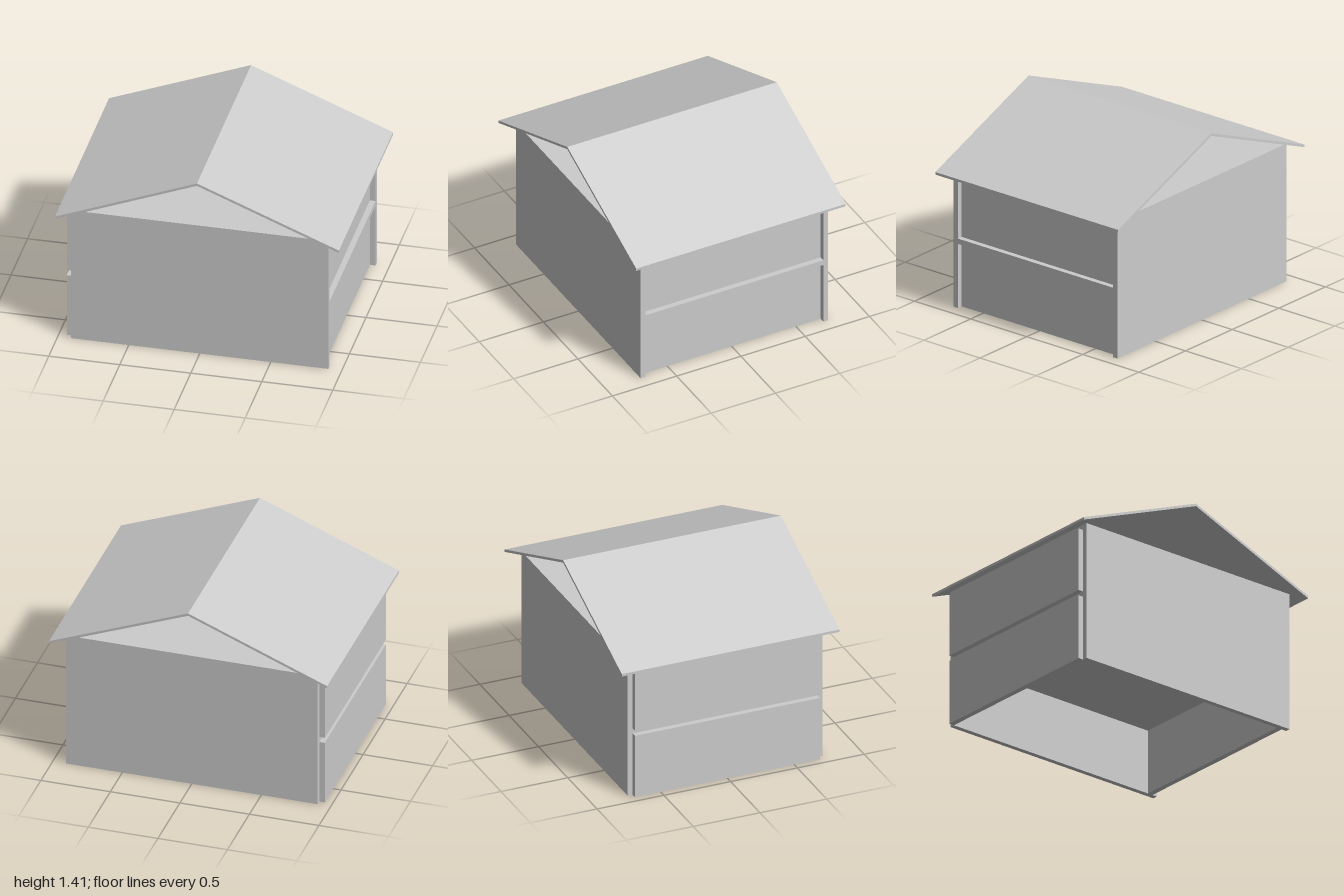
import * as THREE from 'three';

const HALF_LENGTH = 0.905; // shell reach in x
const HALF_DEPTH = 0.73;   // shell reach in z
const INNER = 0.693;       // half the clear width between the walls
const THICK = 0.04;        // panel thickness
const STOREYS = [[0, 0.475], [0.515, 0.98]]; // bottom and top of each opening

function polygon(points, Type = THREE.Shape) {
  return new Type(points.map(([x, y]) => new THREE.Vector2(x, y)));
}

// Extrudes a profile, centred along its depth
function extrude(shape, depth) {
  const geometry = new THREE.ExtrudeGeometry(shape, { depth, bevelEnabled: false });
  return geometry.translate(0, 0, -depth / 2);
}

export function createModel() {
  const model = new THREE.Group();
  model.name = 'house';
  const grey = new THREE.MeshStandardMaterial({ color: 0xcccccc });
  grey.name = 'light grey';

  function add(name, geometry) {
    const mesh = new THREE.Mesh(geometry, grey);
    mesh.name = name;
    model.add(mesh);
    return mesh;
  }

  // Shell: front and back walls joined by a middle floor and a ceiling, open below
  const [lower, upper] = STOREYS;
  const profile = polygon([
    [-HALF_DEPTH, 0], [-INNER, 0], [-INNER, lower[1]], [INNER, lower[1]],
    [INNER, 0], [HALF_DEPTH, 0], [HALF_DEPTH, 1.02], [-HALF_DEPTH, 1.02],
  ]);
  profile.holes.push(polygon([
    [-INNER, upper[0]], [-INNER, upper[1]], [INNER, upper[1]], [INNER, upper[0]],
  ], THREE.Path));
  add('shell', extrude(profile, HALF_LENGTH * 2).rotateY(Math.PI / 2));

  // End panels: recessed at +x, standing proud at -x
  const ends = [['recessedPanel', 0.845], ['raisedPanel', -0.925]];
  for (const [name, x] of ends) {
    STOREYS.forEach(([bottom, top], i) => {
      const panel = add(name + (i ? 'Upper' : 'Lower'),
        new THREE.BoxGeometry(THICK, top - bottom, INNER * 2));
      panel.position.set(x, (bottom + top) / 2, 0);
    });
  }

  // Thin gabled roof with open gables
  add('roof', extrude(polygon([
    [-1, 0.987], [0, 1.387], [1, 0.987], [1, 1.006], [0, 1.406], [-1, 1.006],
  ]), 1.63));

  return model;
}
